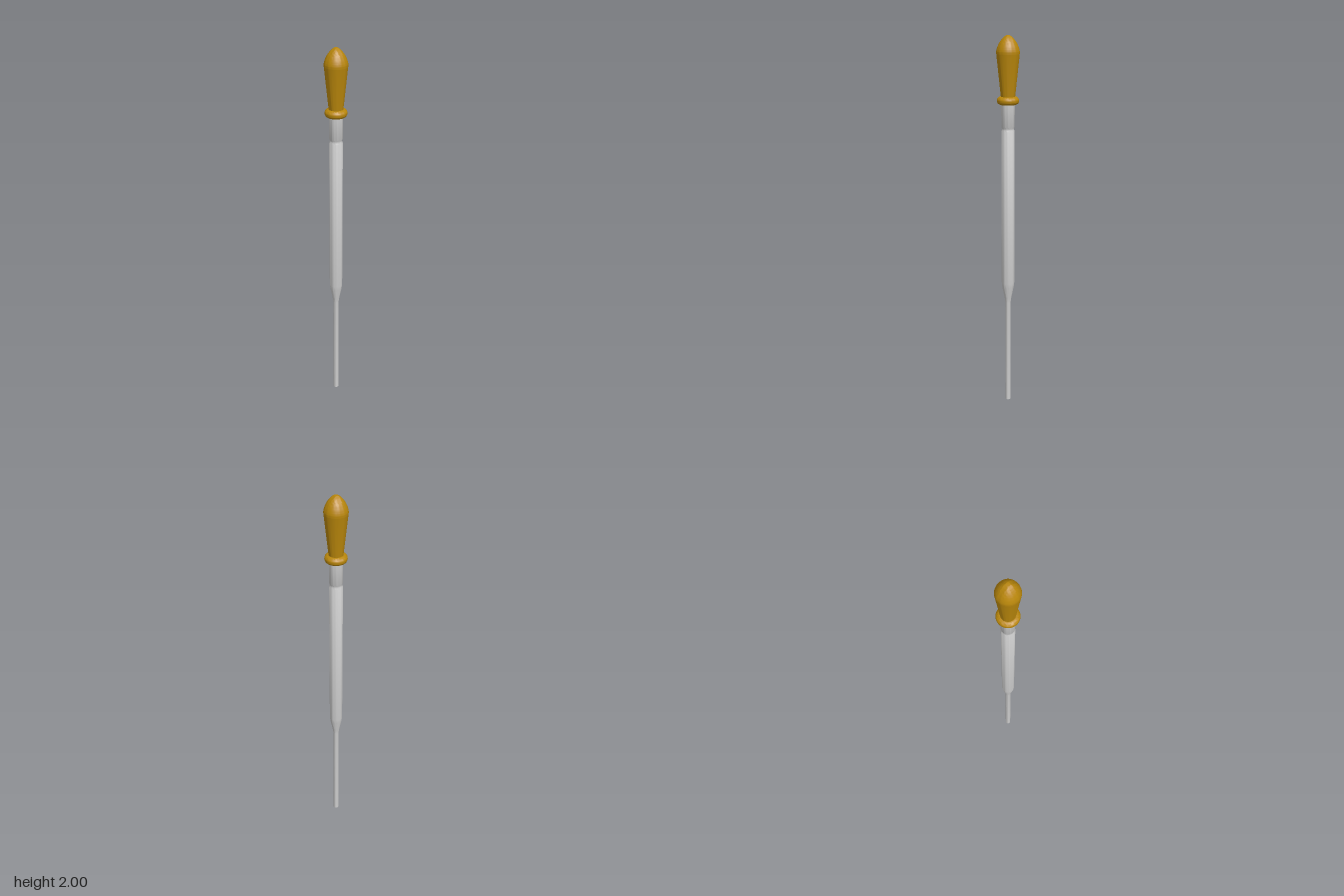
import * as THREE from 'three';
import { toCreasedNormals } from 'three/addons/utils/BufferGeometryUtils.js';

// Turn a [radius, height] profile around the y axis, keeping sharp rims
function turned(name, profile, material) {
  const points = profile.map(([r, y]) => new THREE.Vector2(r, y));
  const geometry = toCreasedNormals(new THREE.LatheGeometry(points, 48), 0.6);
  const mesh = new THREE.Mesh(geometry, material);
  mesh.name = name;
  return mesh;
}

export function createModel() {
  const group = new THREE.Group();
  group.name = 'dropperPipette';
  const glass = new THREE.MeshStandardMaterial({ color: 0xcccccc, side: THREE.DoubleSide });
  const rubber = new THREE.MeshStandardMaterial({ color: 0xb8860b });

  // Hollow glass tube: up the bore is left open, the outer wall has a pinched neck
  group.add(turned('glassTube', [
    [0.028, 1.67], [0.028, 0.7], [0.01, 0.59], [0.01, 0],
    [0.0145, 0], [0.0145, 0.59], [0.018, 0.615], [0.031, 0.68], [0.034, 0.705],
    [0.034, 1.525], [0.032, 1.53], [0.03, 1.537], [0.032, 1.544], [0.034, 1.549],
    [0.034, 1.67],
  ], glass));

  // Rounded rubber collar gripping the tube
  const collar = [[0.03, 1.66]];
  for (let i = 0; i <= 12; i++) {
    const a = -Math.PI / 2 + (Math.PI * i) / 12;
    collar.push([0.037 + 0.019 * Math.cos(a), 1.68 + 0.02 * Math.sin(a)]);
  }
  collar.push([0.03, 1.7]);
  group.add(turned('bulbCollar', collar, rubber));

  // Squeeze bulb: flares upward, then closes in a blunt point
  const crown = new THREE.SplineCurve([
    [0.0575, 1.905], [0.0585, 1.918], [0.054, 1.938], [0.043, 1.962],
    [0.028, 1.982], [0.012, 1.996], [0, 2],
  ].map(([r, y]) => new THREE.Vector2(r, y)));
  const crownProfile = crown.getPoints(24).map((p) => [Math.max(0, p.x), Math.min(2, p.y)]);
  group.add(turned('squeezeBulb', [[0.035, 1.69], [0.036, 1.7], ...crownProfile], rubber));

  return group;
}
